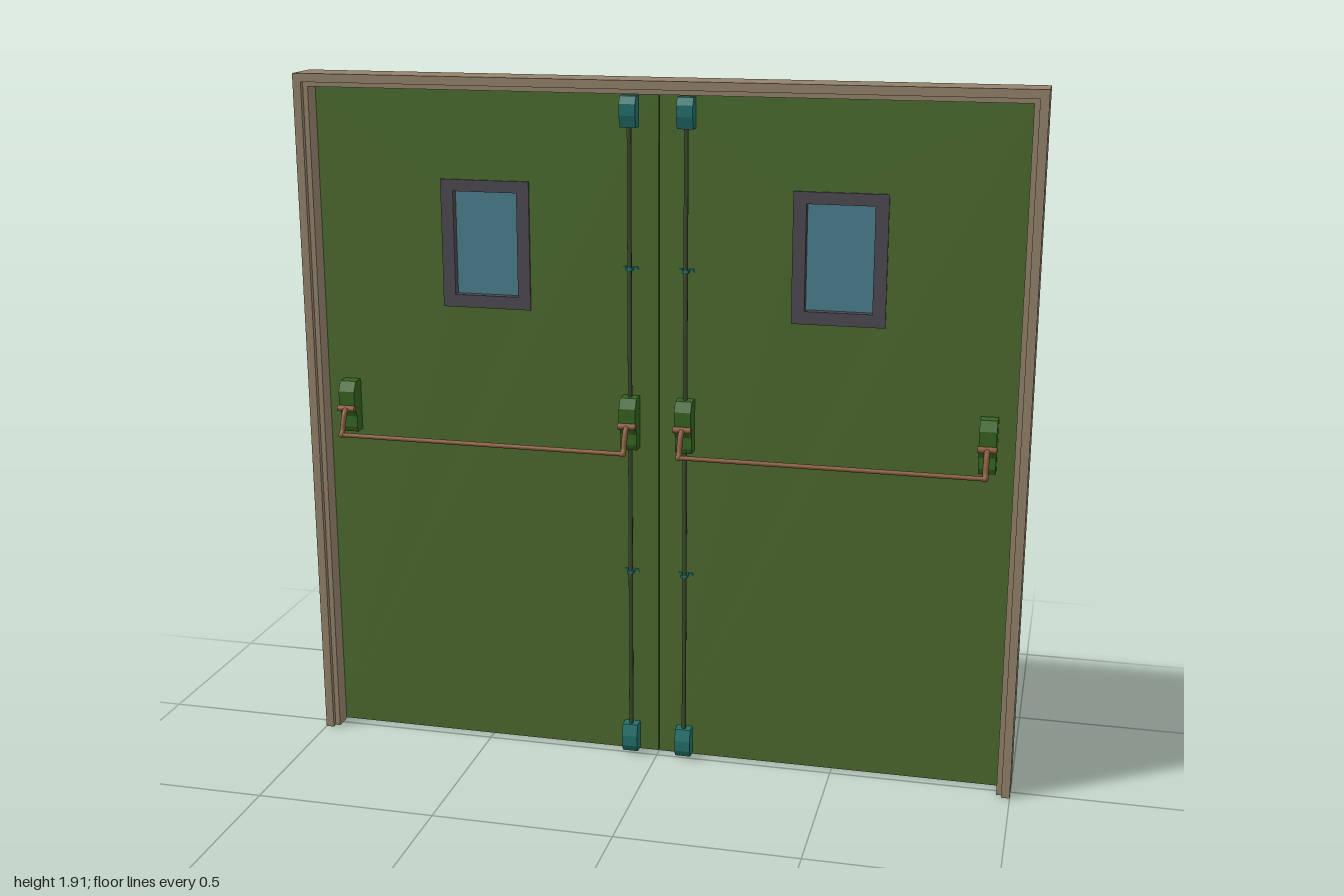
import * as THREE from 'three';

const mat = (color) => new THREE.MeshStandardMaterial({ color });

export function createModel() {
  const model = new THREE.Group();
  const wood = mat(0x93826a), green = mat(0x4b6b2e), grey = mat(0x4d4a50), glass = mat(0x4b7f8e);
  const casing = mat(0x35631f), teal = mat(0x23706a), brown = mat(0x85583a), steel = mat(0x3b4a2c);

  function add(name, geometry, material, x = 0, y = 0, z = 0, parent = model) {
    const mesh = new THREE.Mesh(geometry, material);
    mesh.name = name;
    mesh.position.set(x, y, z);
    parent.add(mesh);
    return mesh;
  }

  // Closed shape from a few points
  const shapeOf = (pts) => new THREE.Shape(pts.map(([a, b]) => new THREE.Vector2(a, b)));
  const rect = (x0, y0, x1, y1) => [[x0, y0], [x1, y0], [x1, y1], [x0, y1]];
  const extrude = (shape, depth) =>
    new THREE.ExtrudeGeometry(shape, { depth, bevelEnabled: false });

  // Panel with a rectangular hole
  function ringGeometry(outer, hole, depth) {
    const s = shapeOf(outer);
    s.holes.push(shapeOf(hole));
    return extrude(s, depth);
  }

  // Side profile given as [z, y], extruded across the width and centred on x
  function sideProfile(pts, width) {
    const g = extrude(shapeOf(pts), width);
    g.translate(0, 0, -width / 2);
    g.rotateY(-Math.PI / 2);
    return g;
  }

  // Upside-down U outline for the door frame
  const arch = (xo, yo, xi, yi) => shapeOf([
    [-xo, 0], [-xi, 0], [-xi, yi], [xi, yi], [xi, 0], [xo, 0], [xo, yo], [-xo, yo],
  ]);

  // Frame with its inner stop
  add('frame', extrude(arch(1, 1.912, 0.977, 1.889), 0.117), wood, 0, 0, -0.078);
  add('frameStop', extrude(arch(0.978, 1.89, 0.963, 1.876), 0.05), wood, 0, 0, -0.025);

  const casingProfile = [
    [-0.025, 0.91], [0.008, 0.91], [0.014, 0.925], [0.012, 0.955], [0.028, 0.985],
    [0.028, 1.03], [0.012, 1.057], [-0.025, 1.057],
  ];
  const latchProfile = [
    [-0.025, 0], [0.004, 0], [0.016, 0.02], [0.016, 0.05], [0.006, 0.082], [-0.025, 0.082],
  ];
  const armCurve = new THREE.CatmullRomCurve3([
    [0, 0.982, 0.03], [0, 0.975, 0.045], [0, 0.95, 0.058], [0, 0.925, 0.068], [0, 0.917, 0.075],
  ].map((p) => new THREE.Vector3(...p)));

  for (const s of [-1, 1]) {
    const leaf = new THREE.Group();
    leaf.name = s > 0 ? 'leftDoor' : 'rightDoor';
    model.add(leaf);
    const put = (name, geo, material, x = 0, y = 0, z = 0) => add(name, geo, material, s * x, y, z, leaf);
    const span = (x0, y0, x1, y1) => (s > 0 ? rect(x0, y0, x1, y1) : rect(-x1, y0, -x0, y1));

    // Leaf and window
    put('leaf', ringGeometry(span(0.001, 0.003, 0.977, 1.889), span(0.385, 1.3, 0.585, 1.61), 0.05),
      green, 0, 0, -0.0755);
    put('windowFrame', ringGeometry(span(0.36, 1.28, 0.61, 1.632), span(0.395, 1.315, 0.575, 1.6), 0.063),
      grey, 0, 0, -0.083);
    put('windowGlass', new THREE.BoxGeometry(0.19, 0.3, 0.016), glass, 0.485, 1.457, -0.051);

    // Push bar mechanisms
    for (const x of [0.077, 0.892]) {
      put('barHousing', sideProfile(casingProfile, 0.046), casing, x);
      const pin = put('barPivot', new THREE.CylinderGeometry(0.009, 0.009, 0.05, 12), brown, x, 0.982, 0.031);
      pin.rotation.z = Math.PI / 2;
      put('barArm', new THREE.TubeGeometry(armCurve, 12, 0.008, 8), brown, x);
      put('barCap', new THREE.SphereGeometry(0.0085, 12, 8), brown, x, 0.917, 0.0745);
    }
    const bar = put('pushBar', new THREE.CylinderGeometry(0.0065, 0.0065, 0.815, 12), brown, 0.4845, 0.917, 0.0745);
    bar.rotation.z = Math.PI / 2;

    // Vertical rods, guides and end latches
    for (const [y0, y1] of [[0.08, 0.93], [1.04, 1.8]]) {
      put('latchRod', new THREE.CylinderGeometry(0.006, 0.006, y1 - y0, 10), steel, 0.077, (y0 + y1) / 2, -0.008);
    }
    for (const y of [0.55, 1.41]) {
      put('rodGuideBase', new THREE.BoxGeometry(0.04, 0.008, 0.004), teal, 0.077, y, -0.024);
      put('rodGuide', new THREE.BoxGeometry(0.018, 0.008, 0.026), teal, 0.077, y, -0.013);
    }
    put('bottomLatch', sideProfile(latchProfile, 0.044), teal, 0.077, 0.007);
    const flipped = latchProfile.map(([z, y]) => [z, 0.082 - y]).reverse();
    put('topLatch', sideProfile(flipped, 0.044), teal, 0.077, 1.787);
  }
  return model;
}
